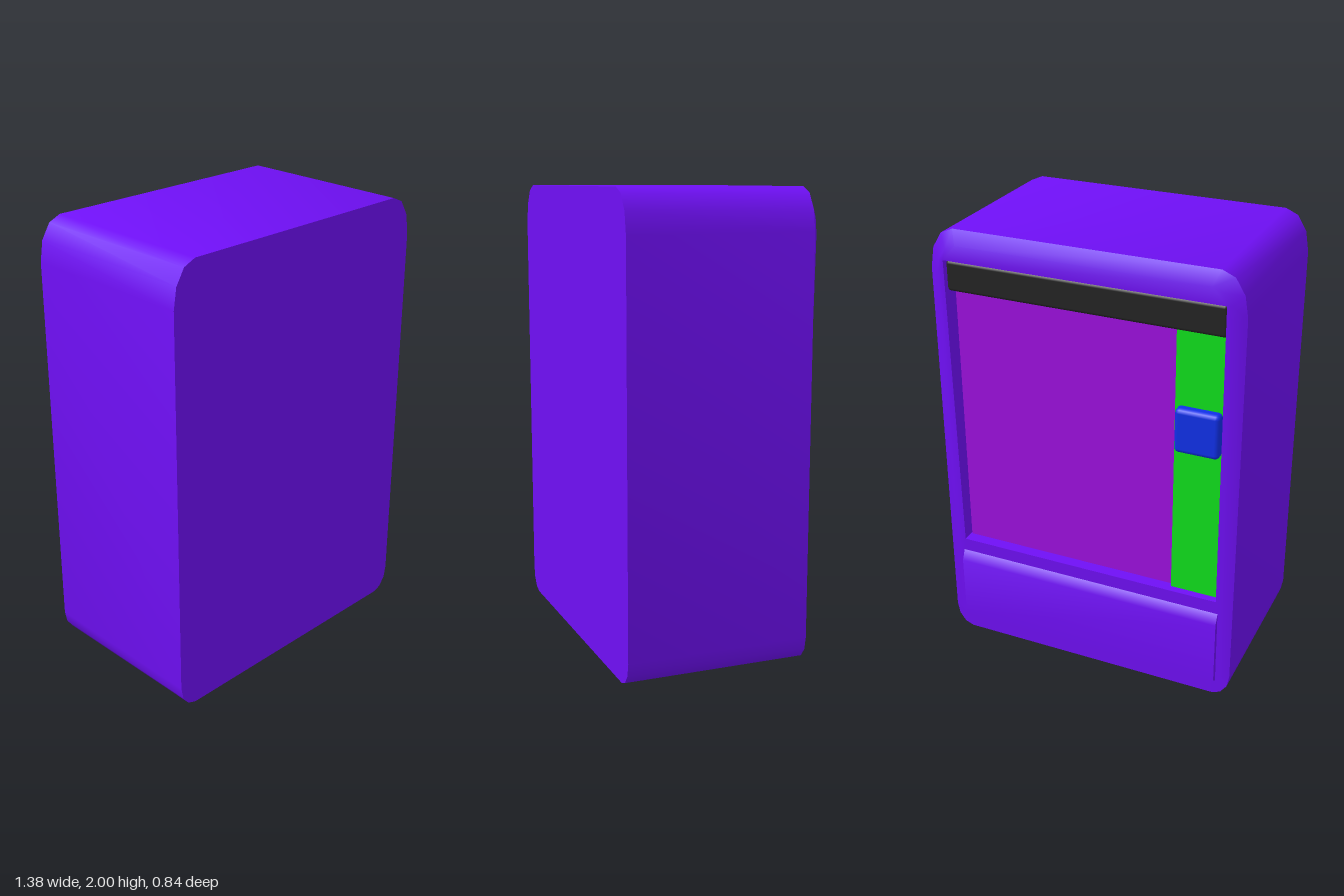
import * as THREE from 'three';
import { toCreasedNormals } from 'three/addons/utils/BufferGeometryUtils.js';
import { RoundedBoxGeometry } from 'three/addons/geometries/RoundedBoxGeometry.js';

const VIOLET = 0x6f0ff5;
const STEPS = 3; // segments per rounded corner

// Outline with elliptical corners, counter-clockwise seen from +z
function outline(halfW, y0, y1, top, bottom) {
  const corners = [
    [1, y1, top, 0], [-1, y1, top, 1], [-1, y0, bottom, 2], [1, y0, bottom, 3],
  ];
  const pts = [];
  for (const [side, y, [rx, ry], quarter] of corners) {
    const cx = side * (halfW - rx);
    const cy = y === y1 ? y1 - ry : y0 + ry;
    for (let i = 0; i <= STEPS; i++) {
      const a = (quarter + i / STEPS) * Math.PI / 2;
      pts.push([cx + rx * Math.cos(a), cy + ry * Math.sin(a)]);
    }
  }
  return pts;
}

// Skin a list of rings running from +z towards -z
function loft(rings) {
  const n = rings[0].length;
  const index = [];
  for (let r = 0; r < rings.length - 1; r++) {
    for (let j = 0; j < n; j++) {
      const a = r * n + j, b = r * n + (j + 1) % n;
      index.push(a, a + n, b, b, a + n, b + n);
    }
  }
  const geo = new THREE.BufferGeometry();
  geo.setAttribute('position', new THREE.Float32BufferAttribute(rings.flat(2), 3));
  geo.setIndex(index);
  return toCreasedNormals(geo, 0.75);
}

export function createModel() {
  const model = new THREE.Group();
  model.name = 'vendingMachine';

  function add(name, geometry, color) {
    const mesh = new THREE.Mesh(geometry, new THREE.MeshStandardMaterial({ color }));
    mesh.name = name;
    model.add(mesh);
    return mesh;
  }

  // Box given by its limits on each axis
  function block(name, [x0, x1], [y0, y1], [z0, z1], radius, color) {
    const size = [x1 - x0, y1 - y0, z1 - z0];
    const geo = radius ? new RoundedBoxGeometry(...size, 2, radius) : new THREE.BoxGeometry(...size);
    add(name, geo, color).position.set((x0 + x1) / 2, (y0 + y1) / 2, (z0 + z1) / 2);
  }

  // Cabinet: plain wall, bevelled rim and a recessed window
  const at = (pts, z) => pts.map(([x, y]) => [x, y, typeof z === 'function' ? z(y) : z]);
  const lean = (y) => -0.385 - 0.017 * y;
  const outer = outline(0.69, 0, 2, [0.11, 0.18], [0.08, 0.11]);
  const rim = outline(0.645, 0.01, 1.94, [0.09, 0.13], [0.06, 0.09]);
  const opening = outline(0.615, 0.5, 1.87, [0, 0], [0, 0]);
  const centre = outer.map(() => [0, 1]);
  add('cabinet', loft([
    at(centre, 0.42), at(outer, 0.42), at(outer, -0.385), at(rim, lean),
    at(opening, lean), at(opening, -0.32), at(centre, -0.32),
  ]), VIOLET);

  // Display window, control strip and payment unit
  block('displayWindow', [-0.395, 0.61], [0.5, 1.8], [-0.34, -0.31], 0, 0x9c10dd);
  block('controlStrip', [-0.61, -0.395], [0.5, 1.8], [-0.36, -0.31], 0, 0x10e01c);
  block('paymentUnit', [-0.6, -0.405], [1.19, 1.39], [-0.4, -0.33], 0.02, 0x1030e8);
  block('headerBar', [-0.615, 0.615], [1.73, 1.865], [-0.4, -0.32], 0.015, 0x242424);

  // Delivery hatch bulging below the window
  const profile = new THREE.Shape([
    [0.36, 0.065], [0.385, 0.07], [0.412, 0.09], [0.414, 0.39], [0.392, 0.44], [0.36, 0.45],
  ].map(([x, y]) => new THREE.Vector2(x, y)));
  const hatch = new THREE.ExtrudeGeometry(profile, { depth: 1.25, bevelEnabled: false });
  hatch.rotateY(Math.PI / 2).translate(-0.625, 0, 0);
  add('deliveryHatch', toCreasedNormals(hatch, 0.9), VIOLET);

  return model;
}
